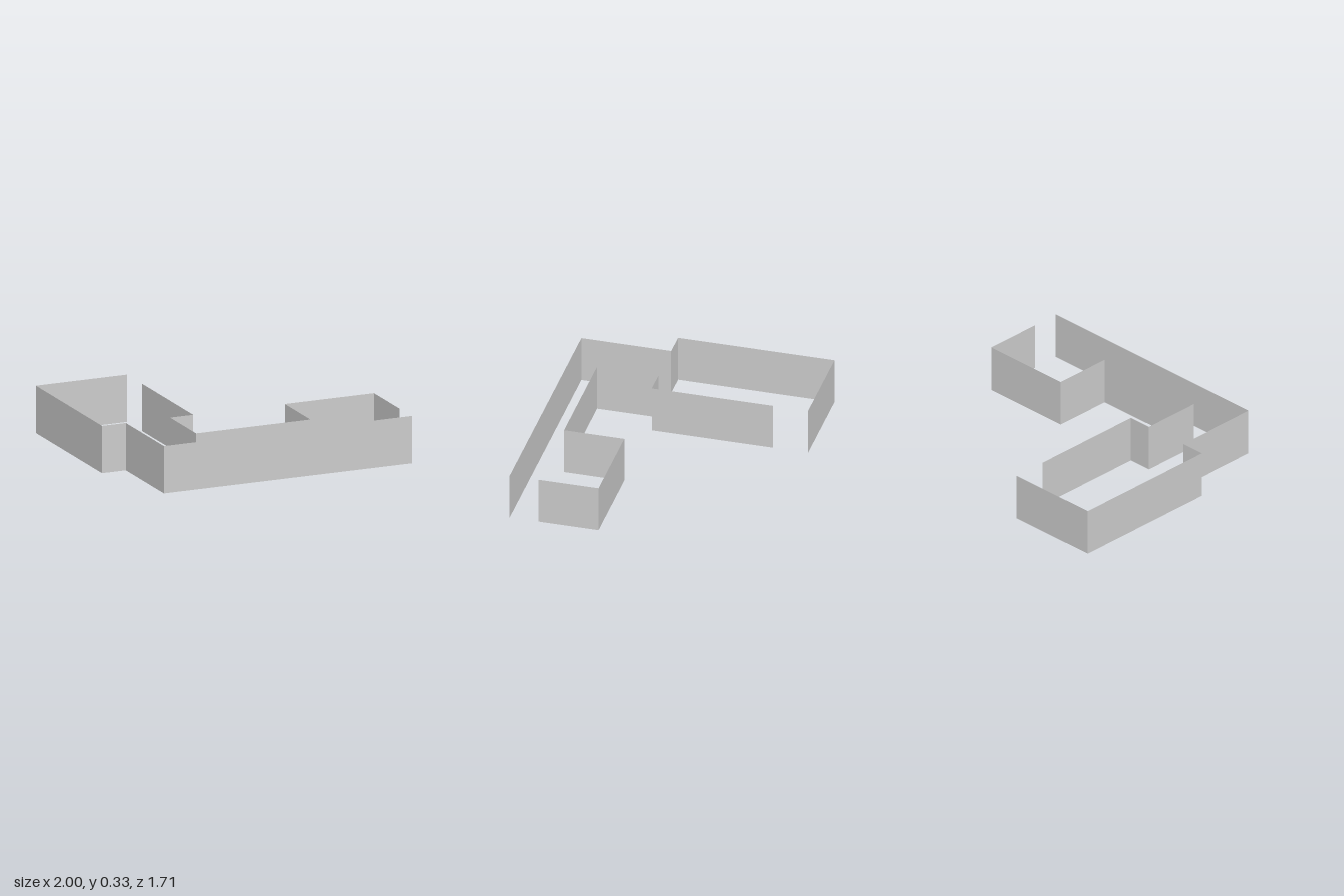
import * as THREE from 'three';

const HEIGHT = 0.33;

// Thin upright wall following a floor-plan path of [x, z] corners
function wall(name, path, material) {
  const positions = [];
  for (let i = 0; i < path.length - 1; i++) {
    const [ax, az] = path[i];
    const [bx, bz] = path[i + 1];
    positions.push(ax, 0, az, bx, 0, bz, bx, HEIGHT, bz);
    positions.push(ax, 0, az, bx, HEIGHT, bz, ax, HEIGHT, az);
  }
  const geometry = new THREE.BufferGeometry();
  geometry.setAttribute('position', new THREE.Float32BufferAttribute(positions, 3));
  geometry.computeVertexNormals();
  const mesh = new THREE.Mesh(geometry, material);
  mesh.name = name;
  return mesh;
}

export function createModel() {
  const model = new THREE.Group();
  model.name = 'corridorWalls';
  const material = new THREE.MeshStandardMaterial({ color: 0xcccccc, side: THREE.DoubleSide });

  // Outer wall: back room, its step inwards, then the long front
  model.add(wall('outerWall', [
    [-0.33, -0.857], [-1, -0.857], [-1, 0.23], [-0.825, 0.23], [-0.825, 0.855], [1, 0.855],
  ], material));

  // Inner wall: room side, corridor bend, then the alcove on the left
  model.add(wall('innerWall', [
    [-0.33, -0.612], [-0.33, 0.23], [-0.5, 0.23], [-0.5, 0.657],
    [0.34, 0.657], [0.34, 0.238], [0.995, 0.238], [0.995, 0.657],
  ], material));

  return model;
}
